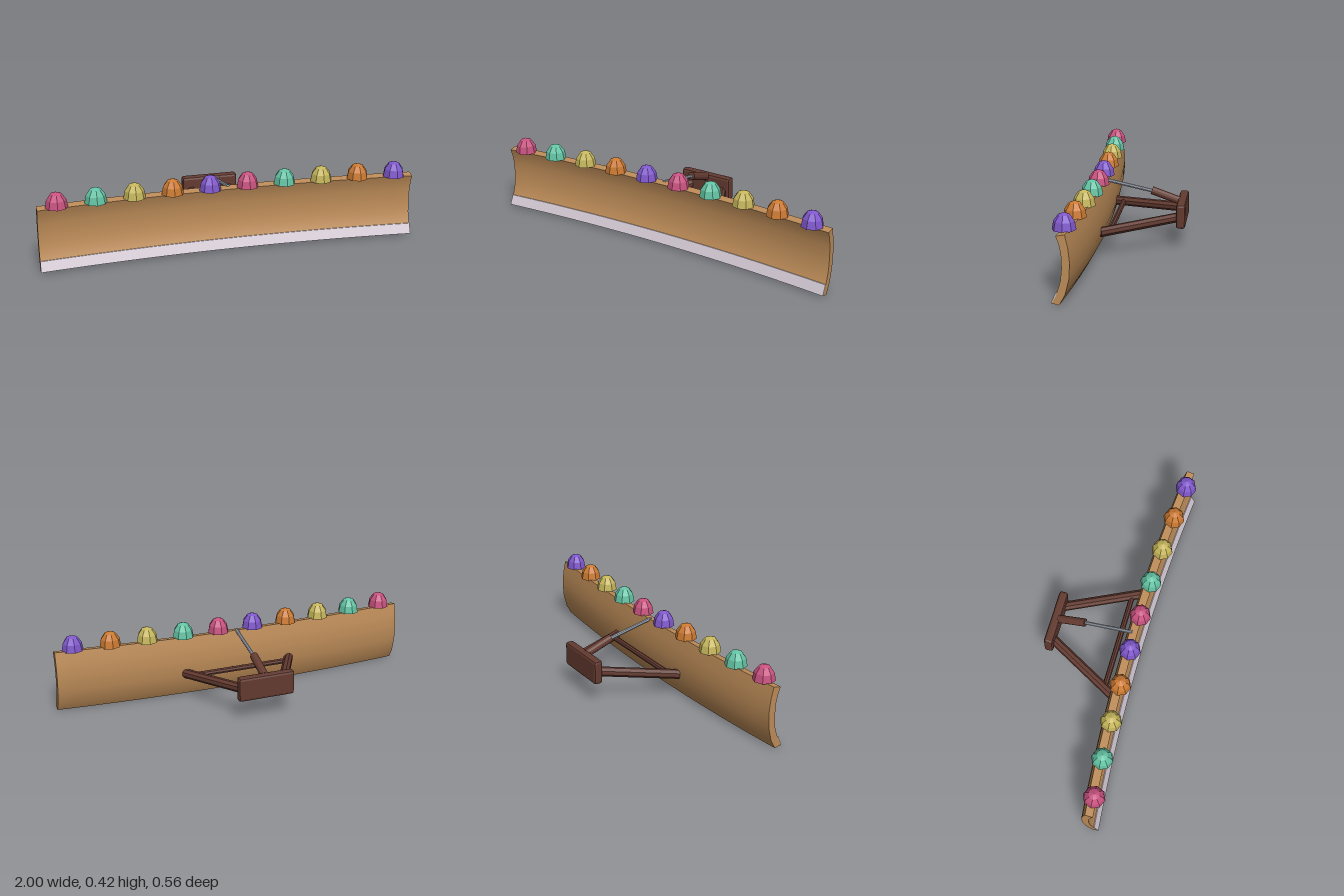
import * as THREE from 'three';
import { toCreasedNormals } from 'three/addons/utils/BufferGeometryUtils.js';
import { RoundedBoxGeometry } from 'three/addons/geometries/RoundedBoxGeometry.js';

const mat = (name, color) => {
  const m = new THREE.MeshStandardMaterial({ color });
  m.name = name;
  return m;
};

// how far the blade sweeps forward towards its ends
const sweep = (x) => 0.05 * x * x;

// flat facets without sharing normals
function faceted(geo) {
  const g = geo.index ? geo.toNonIndexed() : geo;
  g.computeVertexNormals();
  return g;
}

// extrude a (z, y) profile along x and bend it with the blade
function sweptProfile(points) {
  const shape = new THREE.Shape(points.map(([z, y]) => new THREE.Vector2(z, y)));
  const geo = new THREE.ExtrudeGeometry(shape, { depth: 2, steps: 24, bevelEnabled: false });
  geo.translate(0, 0, -1).rotateY(-Math.PI / 2);
  const p = geo.attributes.position;
  for (let i = 0; i < p.count; i++) p.setZ(i, p.getZ(i) + sweep(p.getX(i)));
  return toCreasedNormals(geo, 0.6);
}

// straight bar between two points
function bar(a, b, radius, sides) {
  const from = new THREE.Vector3(...a), to = new THREE.Vector3(...b);
  const dir = to.clone().sub(from);
  const geo = new THREE.CylinderGeometry(radius, radius, dir.length(), sides);
  geo.applyQuaternion(new THREE.Quaternion().setFromUnitVectors(new THREE.Vector3(0, 1, 0), dir.normalize()));
  geo.translate(...from.add(to).multiplyScalar(0.5).toArray());
  return faceted(geo);
}

export function createModel() {
  const group = new THREE.Group();
  group.name = 'plowBlade';
  const add = (name, geo, material) => {
    const mesh = new THREE.Mesh(geo, material);
    mesh.name = name;
    group.add(mesh);
    return mesh;
  };

  const tan = mat('tan', 0xbd8c58);
  const pale = mat('paleEdge', 0xd2c8d2);
  const brown = mat('darkBrown', 0x633a30);
  const steel = mat('steel', 0x9ea4b0);
  const gems = [
    mat('pink', 0xc8527f), mat('teal', 0x64c3a4), mat('yellow', 0xc6b65c),
    mat('orange', 0xcc7a32), mat('purple', 0x8058cc),
  ];

  // curved blade, concave towards the front
  add('blade', sweptProfile([
    [0.183, 0], [0.219, 0.008], [0.19, 0.07], [0.175, 0.12], [0.169, 0.18], [0.171, 0.25],
    [0.181, 0.3], [0.194, 0.335], [0.152, 0.343], [0.138, 0.28], [0.131, 0.21],
    [0.135, 0.13], [0.155, 0.05],
  ]), tan);

  // pale cutting edge along the lower front
  add('cuttingEdge', sweptProfile([
    [0.216, 0.006], [0.222, 0.009], [0.199, 0.06], [0.192, 0.06],
  ]), pale);

  // row of faceted domes on the top edge
  const domeProfile = [new THREE.Vector2(0, 0)];
  for (let i = 0; i <= 3; i++) {
    const t = (i / 3) * Math.PI / 2;
    domeProfile.push(new THREE.Vector2(i === 3 ? 0 : 0.058 * Math.cos(t), 0.082 * Math.sin(t)));
  }
  const dome = faceted(new THREE.LatheGeometry(domeProfile, 8));
  for (let i = 0; i < 10; i++) {
    const x = -0.9 + i * 0.2;
    add('dome' + (i + 1), dome, gems[i % 5]).position.set(x, 0.338, 0.181 + sweep(x));
  }

  // push frame: two converging arms and a cross bar
  for (const s of [-1, 1]) {
    add(s > 0 ? 'leftArm' : 'rightArm', bar([s * 0.305, 0.137, 0.145], [s * 0.1, 0.171, -0.245], 0.026, 8), brown);
  }
  add('crossBar', bar([-0.28, 0.142, 0.095], [0.28, 0.142, 0.095], 0.015, 8), brown);

  // bevelled mounting plate
  const plate = faceted(new RoundedBoxGeometry(0.31, 0.132, 0.049, 1, 0.014));
  add('mountPlate', plate, brown).position.set(0, 0.186, -0.2585);

  // lifting cylinder with its steel rod
  add('liftCylinder', bar([0, 0.287, -0.092], [0, 0.234, -0.242], 0.022, 12), brown);
  add('liftRod', bar([0, 0.34, 0.165], [0, 0.283, -0.1], 0.01, 8), steel);

  return group;
}
